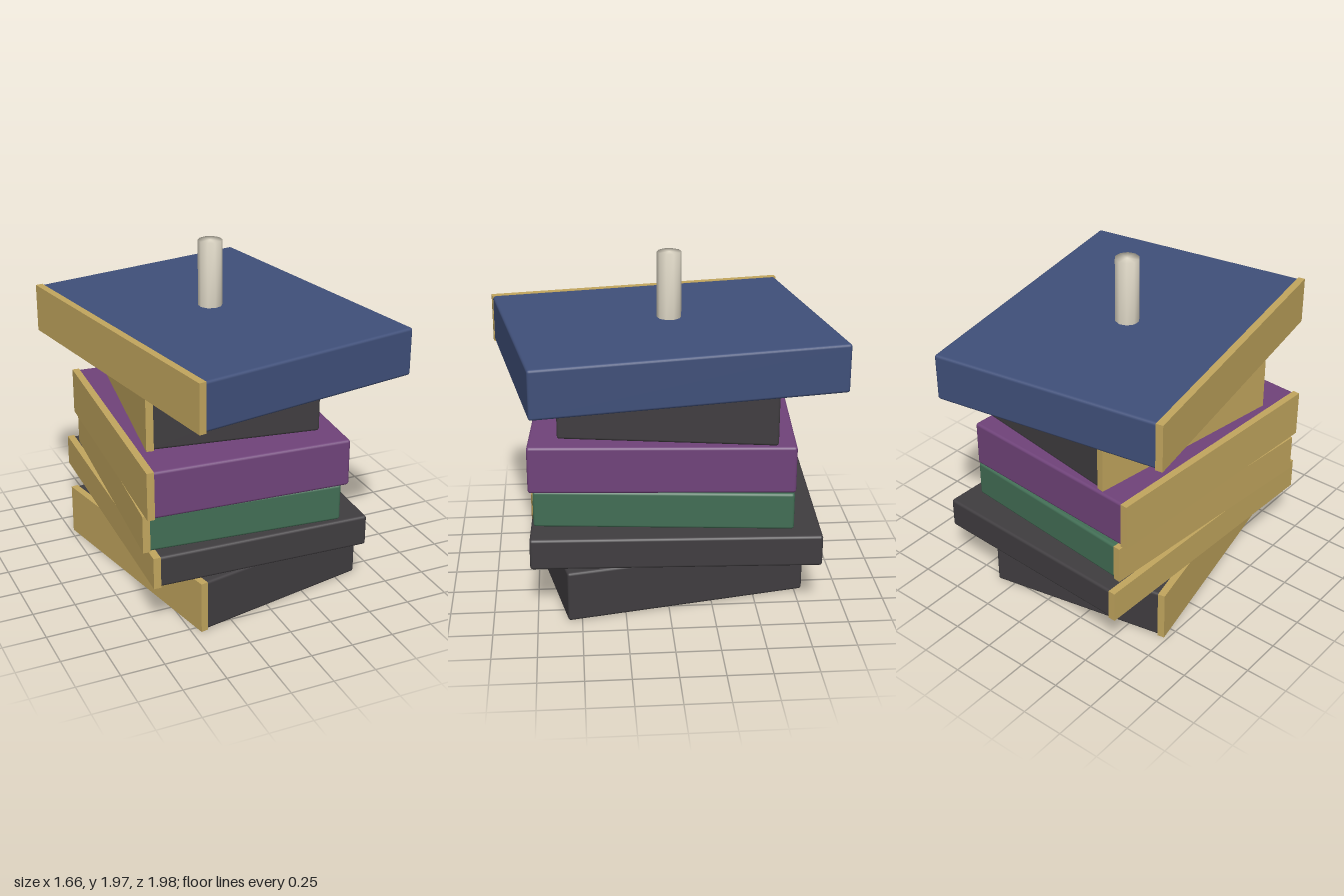
import * as THREE from 'three';
import { RoundedBoxGeometry } from 'three/addons/geometries/RoundedBoxGeometry.js';
import { mergeVertices } from 'three/addons/utils/BufferGeometryUtils.js';

const SPINE = 0.042; // spine thickness
const LIP = 0.004; // how far the spine stands proud of the cover

// One book: rounded cover block with a slim tan spine along its -x side
function makeBook({ name, color, x, z, y0, y1, w, d, turn }) {
  const book = new THREE.Group();
  book.name = name;
  const h = y1 - y0;

  const coverWidth = w - SPINE + 0.02;
  const cover = new THREE.Mesh(
    new RoundedBoxGeometry(coverWidth, h - LIP, d - 2 * LIP, 2, 0.016),
    new THREE.MeshStandardMaterial({ color })
  );
  cover.name = 'cover';
  cover.position.x = w / 2 - coverWidth / 2;

  const spine = new THREE.Mesh(
    new THREE.BoxGeometry(SPINE, h, d),
    new THREE.MeshStandardMaterial({ color: 0xc2a65e })
  );
  spine.name = 'spine';
  spine.position.x = -w / 2 + SPINE / 2;

  book.add(cover, spine);
  book.position.set(x, (y0 + y1) / 2, z);
  book.rotation.y = turn;
  return book;
}

export function createModel() {
  const model = new THREE.Group();
  model.name = 'bookStack';

  // Books from the bottom up, each turned a little differently
  const dark = 0x403d40;
  const books = [
    { name: 'bottomBook', color: dark, x: -0.047, z: 0, y0: 0, y1: 0.305, w: 1.107, d: 1.41, turn: 0.2 },
    { name: 'thinBook', color: dark, x: -0.028, z: -0.06, y0: 0.305, y1: 0.493, w: 1.285, d: 1.65, turn: -0.039 },
    { name: 'greenBook', color: 0x426e55, x: -0.087, z: -0.022, y0: 0.493, y1: 0.716, w: 1.155, d: 1.48, turn: -0.093 },
    { name: 'purpleBook', color: 0x70437a, x: -0.085, z: 0.002, y0: 0.716, y1: 0.997, w: 1.178, d: 1.508, turn: -0.065 },
    { name: 'smallBook', color: dark, x: -0.045, z: -0.067, y0: 0.997, y1: 1.302, w: 0.987, d: 1.245, turn: -0.153 },
    { name: 'topBook', color: 0x40507a, x: 0, z: 0, y0: 1.302, y1: 1.585, w: 1.39, d: 1.775, turn: 0.168 },
  ];
  for (const spec of books) model.add(makeBook(spec));

  // Candle: low-sided cylinder with normals blended over the rim
  let wax = new THREE.CylinderGeometry(0.07, 0.07, 0.385, 10);
  wax.deleteAttribute('uv');
  wax.deleteAttribute('normal');
  wax = mergeVertices(wax);
  wax.computeVertexNormals();
  const candle = new THREE.Mesh(wax, new THREE.MeshStandardMaterial({ color: 0xe6dfcd }));
  candle.name = 'candle';
  candle.position.set(-0.025, 1.7725, -0.038);
  model.add(candle);

  return model;
}
